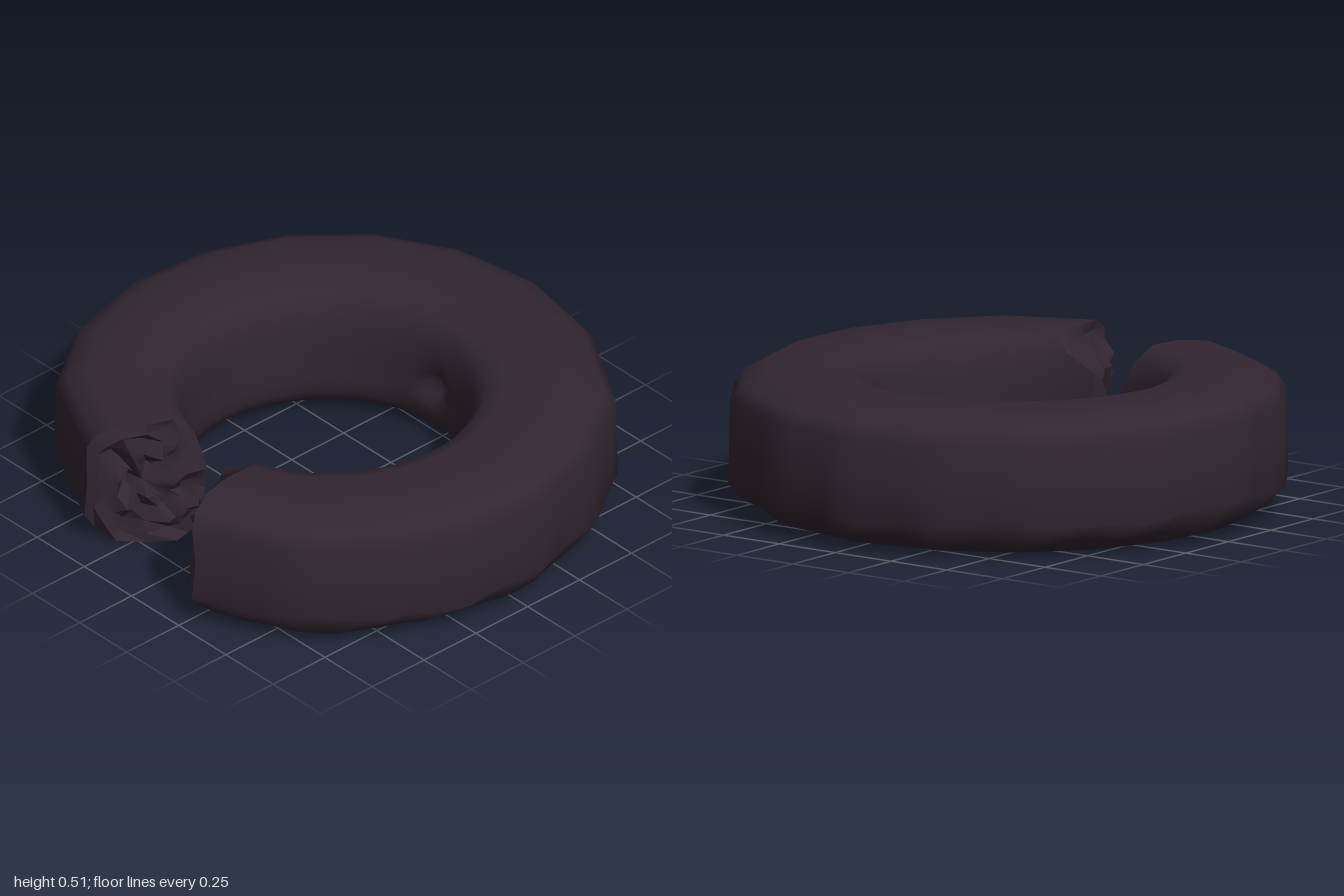
import * as THREE from 'three';
import { toCreasedNormals } from 'three/addons/utils/BufferGeometryUtils.js';

// Outer outline of the ring seen from above (x, z), from the right lip round the back to the left lip
const OUTER = [
  [0.29, 0.97], [0.64, 0.81], [0.855, 0.55], [0.98, 0.25], [0.998, -0.08], [0.90, -0.42],
  [0.71, -0.70], [0.34, -0.92], [0, -0.98], [-0.34, -0.92], [-0.63, -0.755], [-0.845, -0.51],
  [-0.97, -0.21], [-1, 0.12], [-0.91, 0.46], [-0.72, 0.72], [-0.36, 0.90],
];
const LAST = OUTER.length - 1;
const CENTER_Z = 0.06, INNER_R = 0.512, SUB = 4;

// Cross-section: u runs from the inner wall (0) to the outer wall (1), y is height
const PROFILE = [
  [0, 0.15], [0, 0.19], [0, 0.23], [0, 0.27], [0, 0.32], [0.015, 0.39], [0.05, 0.45], [0.12, 0.493],
  [0.24, 0.513], [0.5, 0.517], [0.75, 0.512], [0.91, 0.47], [0.985, 0.42], [0.99, 0.27], [1, 0.13],
  [0.9, 0.06], [0.75, 0.018], [0.5, 0.006], [0.24, 0.01], [0.12, 0.03], [0.05, 0.06], [0.015, 0.10],
];

// Angle of each station on the inner circle
const ANGLES = OUTER.map(([x, z]) => {
  const a = Math.atan2(x, z - CENTER_Z);
  return a < 0 ? a + Math.PI * 2 : a;
});
ANGLES[0] = 0.05;
ANGLES[8] = Math.PI;
ANGLES[LAST] = 6.11;

const smooth = THREE.MathUtils.smoothstep;
const lerp = THREE.MathUtils.lerp;
// Repeatable unevenness for worn and broken surfaces
const rough = (a, b, c) => Math.sin(a * 12.9 + b * 7.3 + c) * Math.cos(b * 23.1 - a * 5.7 + c * 2);

// How far the broken ends reach along their last span
function reach(u, y, right) {
  const top = smooth(y, 0.36, 0.51), bottom = 1 - smooth(y, 0.01, 0.13);
  const bulge = 1 + 0.12 * Math.sin(Math.PI * u);
  const wear = 0.05 * rough(u * 1.3, y * 1.5, right ? 1 : 4);
  return right
    ? bulge + wear - top * (1 - u) * 0.6 - bottom * 0.13
    : bulge + wear - top * (1 - u) * 0.22 - bottom * 0.1;
}

// Point on the ring at station s
function place(s, u, y) {
  if (s < 1) s = 1 - (1 - s) * reach(u, y, true);
  else if (s > LAST - 1) s = LAST - 1 + (s - LAST + 1) * reach(u, y, false);
  const i = Math.min(Math.max(Math.floor(s), 0), LAST - 1), t = s - i;
  const a = lerp(ANGLES[i], ANGLES[i + 1], t);
  let r = INNER_R;
  // Small chipped hollow in the back of the inner wall
  if (u < 0.1) {
    const d = Math.hypot((a - Math.PI) * INNER_R, y - 0.23);
    r += 0.05 * (1 - smooth(d, 0.025, 0.075));
  }
  const ox = lerp(OUTER[i][0], OUTER[i + 1][0], t), oz = lerp(OUTER[i][1], OUTER[i + 1][1], t);
  const lowEdge = u > 0.85 && y < 0.2 ? 0.018 * rough(s * 0.31, u, 2) : 0;
  return [lerp(Math.sin(a) * r, ox, u), y + lowEdge, lerp(CENTER_Z + Math.cos(a) * r, oz, u)];
}

// Skin a stack of closed loops
function skin(rows, flip) {
  const n = PROFILE.length, index = [];
  for (let i = 0; i < rows.length - 1; i++) {
    for (let j = 0; j < n; j++) {
      const a = i * n + j, b = i * n + (j + 1) % n, c = a + n, d = b + n;
      if (flip) index.push(a, c, b, b, c, d);
      else index.push(a, b, c, b, d, c);
    }
  }
  const geo = new THREE.BufferGeometry();
  geo.setAttribute('position', new THREE.Float32BufferAttribute(rows.flat(2), 3));
  geo.setIndex(index);
  geo.computeVertexNormals();
  return geo;
}

// Ragged fracture face closing one end
function fracture(right) {
  const rows = [1, 0.85, 0.65, 0.45, 0.22, 0].map((k) => PROFILE.map(([u, y]) => {
    const cu = lerp(0.5, u, k), cy = lerp(0.26, y, k);
    const hollow = (1 - k) * (right ? 0.08 : 0.2) + (k < 1 ? 0.09 * rough(cu * 1.6, cy * 1.4, right ? 3 : 5) : 0);
    return place(right ? hollow : LAST - hollow, cu, cy);
  }));
  return toCreasedNormals(skin(rows, right), 0.7);
}

export function createModel() {
  const model = new THREE.Group();
  model.name = 'brokenRing';
  const material = new THREE.MeshStandardMaterial({ color: 0x322631 });
  material.name = 'dark plum';

  const add = (name, geometry) => {
    const mesh = new THREE.Mesh(geometry, material);
    mesh.name = name;
    model.add(mesh);
  };

  // Ring body
  const rows = [];
  for (let i = 0; i <= LAST * SUB; i++) rows.push(PROFILE.map(([u, y]) => place(i / SUB, u, y)));
  add('ringBody', skin(rows, false));

  // Broken ends
  add('leftBrokenEnd', fracture(true));
  add('rightBrokenEnd', fracture(false));
  return model;
}
